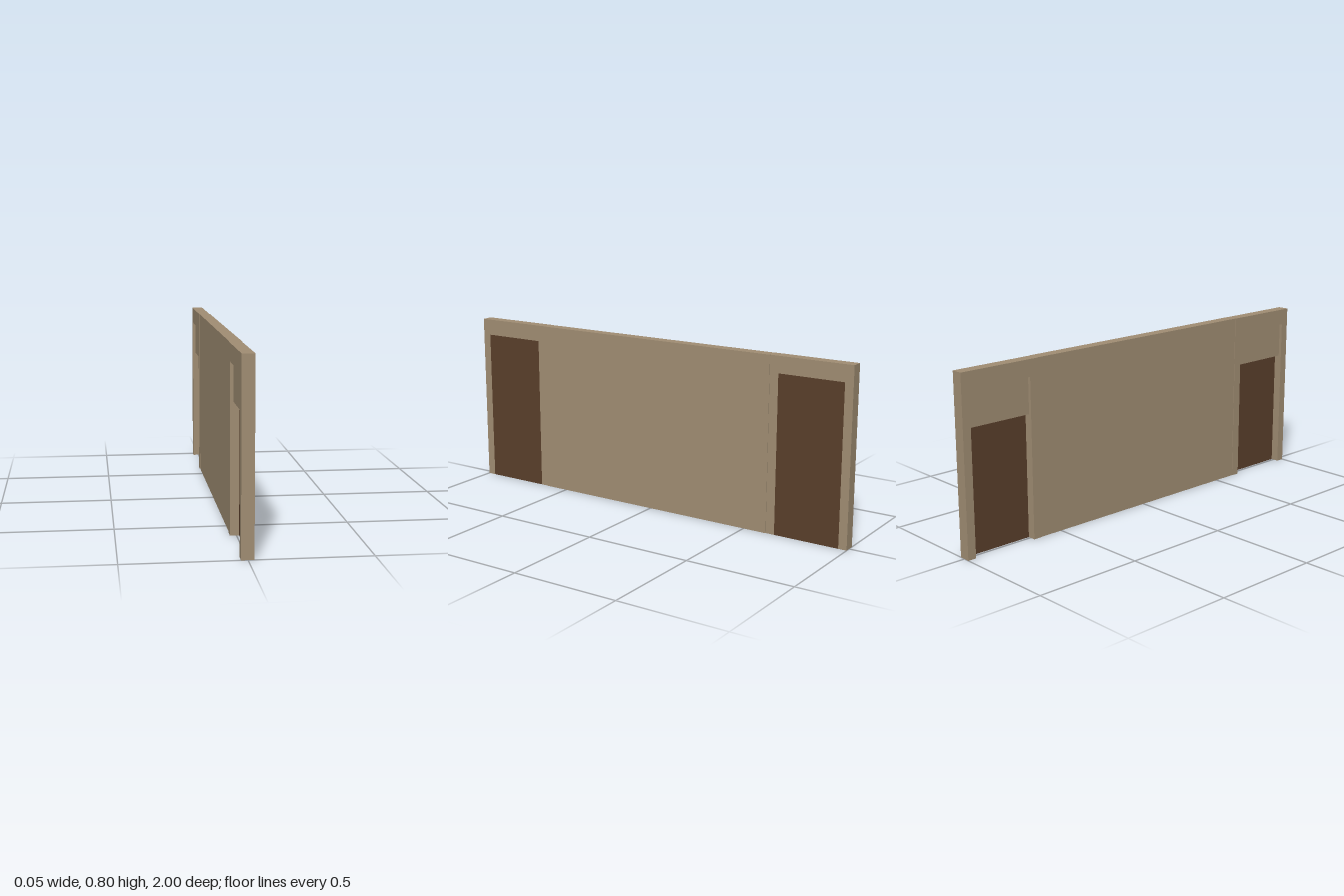
import * as THREE from 'three';

const wall = new THREE.MeshStandardMaterial({ color: 0xa08d73 });
wall.name = 'tan wall';
const wood = new THREE.MeshStandardMaterial({ color: 0x5a3f2b });
wood.name = 'brown door';

// Box given by its minimum and maximum corners
function box(name, material, [x0, y0, z0], [x1, y1, z1]) {
  const geometry = new THREE.BoxGeometry(x1 - x0, y1 - y0, z1 - z0);
  geometry.translate((x0 + x1) / 2, (y0 + y1) / 2, (z0 + z1) / 2);
  const mesh = new THREE.Mesh(geometry, material);
  mesh.name = name;
  return mesh;
}

const HEIGHT = 0.8, BACK = -0.0275, FACE = 0.025;
const OPEN_IN = 0.653, OPEN_OUT = 0.961, OPEN_TOP = 0.724;

// End wall with a doorway, its door and the header behind it; side is +1 or -1 along z
function doorBay(side) {
  const bay = new THREE.Group();
  bay.name = side > 0 ? 'frontDoorBay' : 'rearDoorBay';

  // Doorway frame: outline in z and y, extruded through the wall
  const outline = [
    [0.612, 0], [OPEN_IN, 0], [OPEN_IN, OPEN_TOP], [OPEN_OUT, OPEN_TOP],
    [OPEN_OUT, 0], [1, 0], [1, HEIGHT], [0.612, HEIGHT],
  ].map(([z, y]) => new THREE.Vector2(z * side, y));
  const geometry = new THREE.ExtrudeGeometry(new THREE.Shape(outline), { depth: FACE - BACK, bevelEnabled: false });
  geometry.rotateY(-Math.PI / 2).translate(FACE, 0, 0);
  const frame = new THREE.Mesh(geometry, wall);
  frame.name = 'doorFrame';
  bay.add(frame);

  const z0 = Math.min(OPEN_IN * side, OPEN_OUT * side);
  const z1 = Math.max(OPEN_IN * side, OPEN_OUT * side);

  // Door made of stacked horizontal sections, flush with the outer face
  const levels = [0, 0.14, 0.28, 0.42, 0.56, OPEN_TOP];
  for (let i = 0; i < levels.length - 1; i++) {
    bay.add(box(`doorSection${i + 1}`, wood, [0.011, levels[i], z0], [FACE, levels[i + 1], z1]));
  }

  // Header box over the inside of the door
  bay.add(box('doorHeader', wall, [-0.0135, 0.56, z0], [0.011, OPEN_TOP, z1]));
  return bay;
}

export function createModel() {
  const model = new THREE.Group();
  model.name = 'wallWithDoors';
  // Middle wall, stepped slightly outward from the door bays
  model.add(box('middleWall', wall, [-0.025, 0, -0.612], [0.0275, HEIGHT, 0.612]));
  for (const side of [1, -1]) model.add(doorBay(side));
  return model;
}
